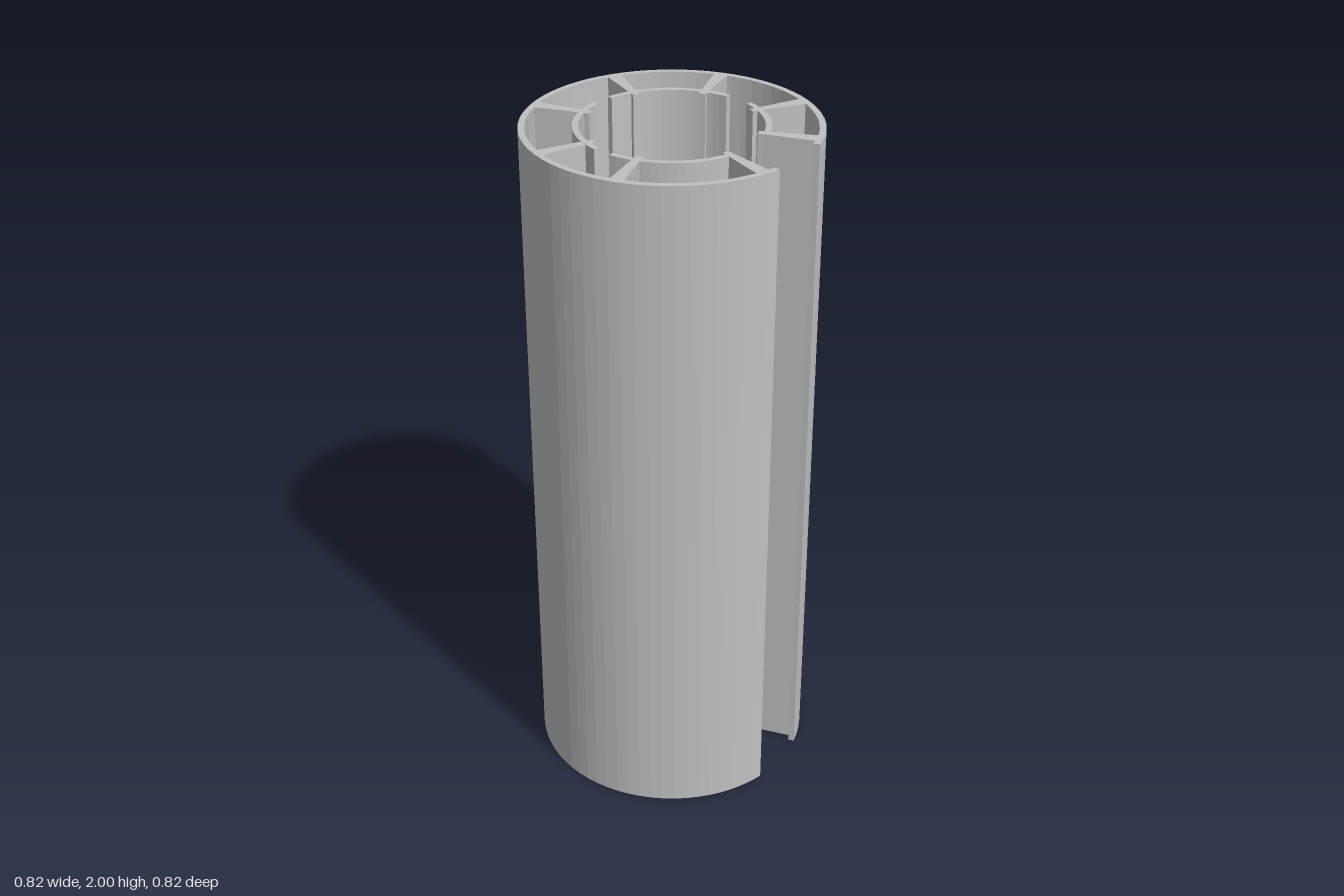
import * as THREE from 'three';

const HEIGHT = 2;
const OUTER = 0.408, OUTER_IN = 0.39;   // outer shell radii
const INNER = 0.265, INNER_IN = 0.248;  // inner wall radii
const TIP = 0.234;                      // how far the rib tips reach inward
const rad = THREE.MathUtils.degToRad;

// Plan outline (x, -z) raised to the full height
function raise(points) {
  const geo = new THREE.ExtrudeGeometry(new THREE.Shape(points), { depth: HEIGHT, bevelEnabled: false });
  return geo.rotateX(-Math.PI / 2);
}

// Curved wall between two angles in degrees, in facets of about 5 degrees
function wall(rIn, rOut, from, to) {
  const n = Math.round((to - from) / 5);
  const outer = [], inner = [];
  for (let i = 0; i <= n; i++) {
    const a = rad(from + (to - from) * i / n);
    outer.push(new THREE.Vector2(Math.cos(a) * rOut, Math.sin(a) * rOut));
    inner.unshift(new THREE.Vector2(Math.cos(a) * rIn, Math.sin(a) * rIn));
  }
  return raise([...outer, ...inner]);
}

// Radial slab, half width w0 at r0 and w1 at r1
function slab(r0, w0, r1, w1) {
  return raise([[r0, -w0], [r1, -w1], [r1, w1], [r0, w0]].map(([x, y]) => new THREE.Vector2(x, y)));
}

export function createModel() {
  const model = new THREE.Group();
  model.name = 'slottedTube';
  const grey = new THREE.MeshStandardMaterial({ color: 0xc0c0c0 });
  grey.name = 'grey';

  const add = (name, geo, parent = model) => {
    const mesh = new THREE.Mesh(geo, grey);
    mesh.name = name;
    parent.add(mesh);
  };

  // Outer shell, open along one slot
  add('outerShell', wall(OUTER_IN, OUTER, 0, 332));

  // Inner wall, broken into four arcs
  [[3.4, 56], [73.5, 152], [163.5, 241.5], [253, 328.4]].forEach(([from, to], i) =>
    add(`innerWall${i + 1}`, wall(INNER_IN, INNER, from, to)));

  // Tapered ribs joining the walls, each with a short tip inside
  const body = slab(INNER - 0.002, 0.011, OUTER_IN + 0.001, 0.0195);
  const tip = slab(TIP, 0.01, INNER_IN + 0.001, 0.01);
  [5.8, 45, 90, 135, 180, 230.5, 270, 326].forEach((angle, i) => {
    const rib = new THREE.Group();
    rib.name = `rib${i + 1}`;
    rib.rotation.y = rad(angle);
    add('ribBody', body, rib);
    add('ribTip', tip, rib);
    model.add(rib);
  });

  return model;
}
